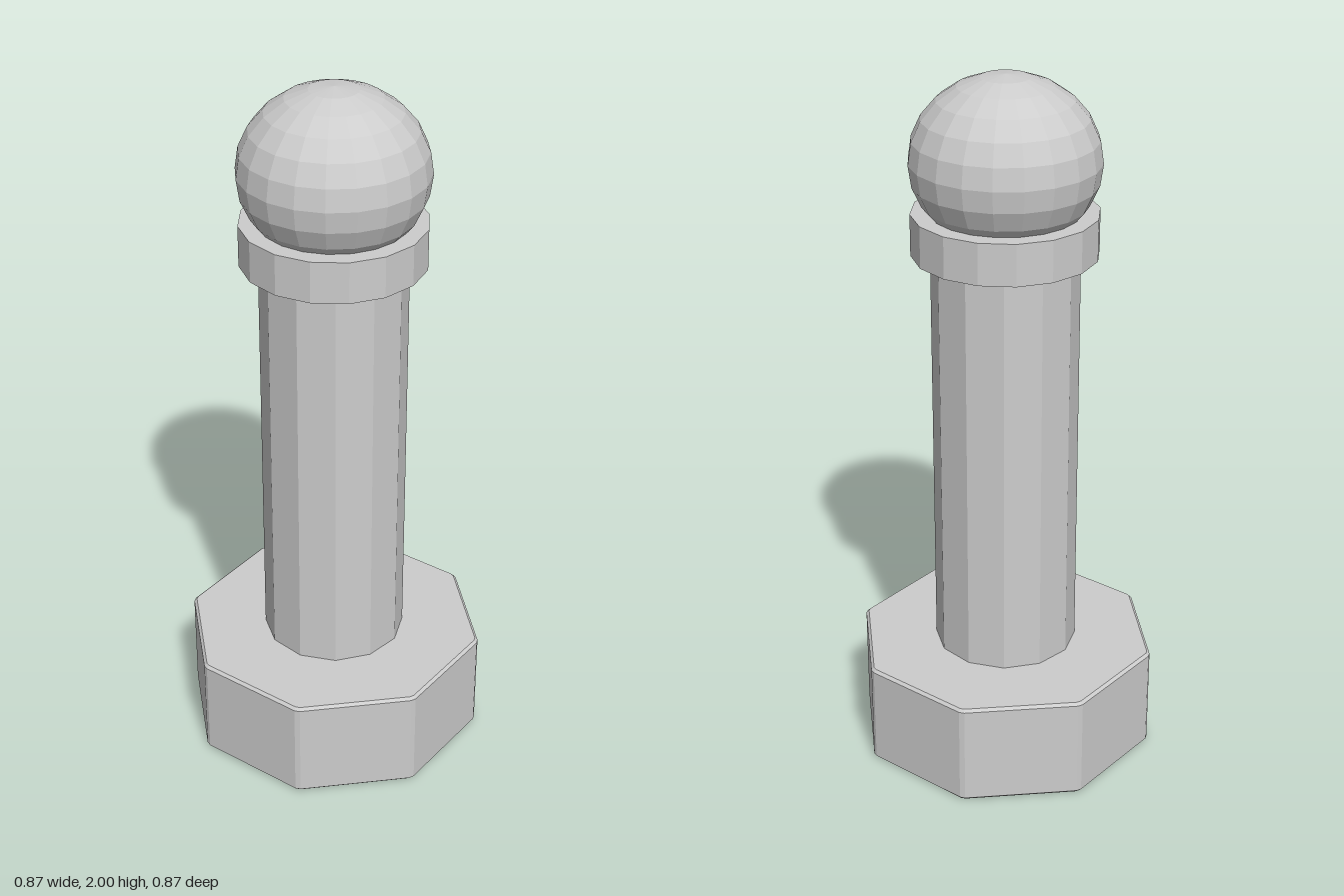
import * as THREE from 'three';

export function createModel() {
  const group = new THREE.Group();
  const stone = new THREE.MeshStandardMaterial({ color: 0xcccccc });
  stone.name = 'lightGrey';

  const add = (name, geometry, y) => {
    // unshared vertices give every facet its own flat normal
    const flat = geometry.index ? geometry.toNonIndexed() : geometry;
    flat.computeVertexNormals();
    const mesh = new THREE.Mesh(flat, stone);
    mesh.name = name;
    mesh.position.y = y;
    group.add(mesh);
  };

  // octagonal foot with chamfered corners and bevelled rims
  const corners = [];
  for (let i = 0; i < 8; i++) {
    const a = (i * Math.PI) / 4;
    corners.push(new THREE.Vector2(Math.cos(a), Math.sin(a)).multiplyScalar(0.44));
  }
  const outline = [];
  corners.forEach((c, i) => {
    outline.push(c.clone().lerp(corners[(i + 7) % 8], 0.025));
    outline.push(c.clone().lerp(corners[(i + 1) % 8], 0.025));
  });
  const bevel = 0.008;
  const foot = new THREE.ExtrudeGeometry(new THREE.Shape(outline), {
    depth: 0.305 - 2 * bevel,
    bevelThickness: bevel,
    bevelSize: bevel,
    bevelOffset: -bevel,
    bevelSegments: 1,
  });
  foot.rotateX(-Math.PI / 2);
  add('base', foot, bevel);

  // twelve-sided shaft
  add('column', new THREE.CylinderGeometry(0.205, 0.205, 1.22, 12), 0.9);

  // collar under the ball
  add('collar', new THREE.CylinderGeometry(0.258, 0.258, 0.118, 16), 1.564);

  // slightly flattened ball
  add('ball', new THREE.SphereGeometry(0.262, 20, 12).scale(1, 0.9, 1), 1.764);

  return group;
}
